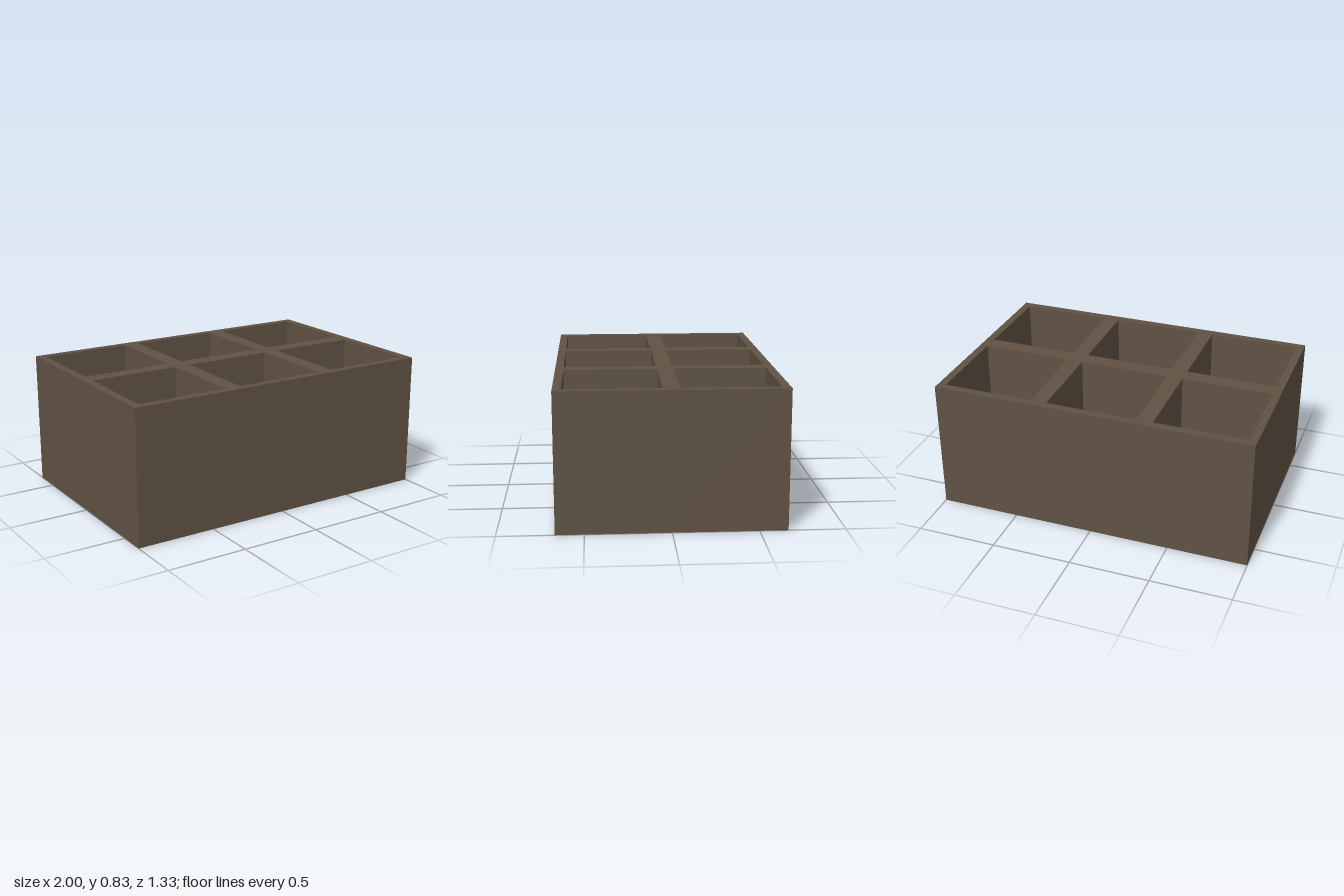
import * as THREE from 'three';
import { mergeGeometries } from 'three/addons/utils/BufferGeometryUtils.js';

const WIDTH = 2, HEIGHT = 0.83, CELL = 2 / 3, WALL = 0.05, FLOOR = 0.05;
const POCKET = CELL - 2 * WALL;

// Box without its top face; inverted boxes show their inside
function openBox(w, h, d, inverted = false) {
  const geo = new THREE.BoxGeometry(w, h, d);
  const index = [...geo.index.array];
  index.splice(12, 6);
  if (inverted) {
    index.reverse();
    const n = geo.attributes.normal;
    for (let i = 0; i < n.array.length; i++) n.array[i] *= -1;
  }
  geo.setIndex(index);
  geo.clearGroups();
  return geo;
}

// One row of three square pockets, centred on x and z
function rowGeometry() {
  const centres = [-CELL, 0, CELL];
  const outer = openBox(WIDTH, HEIGHT, CELL).translate(0, HEIGHT / 2, 0);

  // Rim with a square opening per pocket
  const rim = new THREE.Shape();
  rim.moveTo(-WIDTH / 2, -CELL / 2).lineTo(WIDTH / 2, -CELL / 2)
    .lineTo(WIDTH / 2, CELL / 2).lineTo(-WIDTH / 2, CELL / 2).closePath();
  const p = POCKET / 2;
  for (const x of centres) {
    const hole = new THREE.Path();
    hole.moveTo(x - p, -p).lineTo(x - p, p).lineTo(x + p, p).lineTo(x + p, -p).closePath();
    rim.holes.push(hole);
  }
  const top = new THREE.ShapeGeometry(rim).rotateX(-Math.PI / 2).translate(0, HEIGHT, 0);

  // Pocket walls and floors
  const depth = HEIGHT - FLOOR;
  const pockets = centres.map((x) =>
    openBox(POCKET, depth, POCKET, true).translate(x, FLOOR + depth / 2, 0));

  return mergeGeometries([outer, top, ...pockets]);
}

export function createModel() {
  const group = new THREE.Group();
  group.name = 'compartmentBox';
  const material = new THREE.MeshStandardMaterial({ color: 0x605244 });
  const geometry = rowGeometry();

  // Two rows meeting along the middle seam
  for (const [name, z] of [['frontRow', CELL / 2], ['backRow', -CELL / 2]]) {
    const row = new THREE.Mesh(geometry, material);
    row.name = name;
    row.position.z = z;
    group.add(row);
  }
  return group;
}
